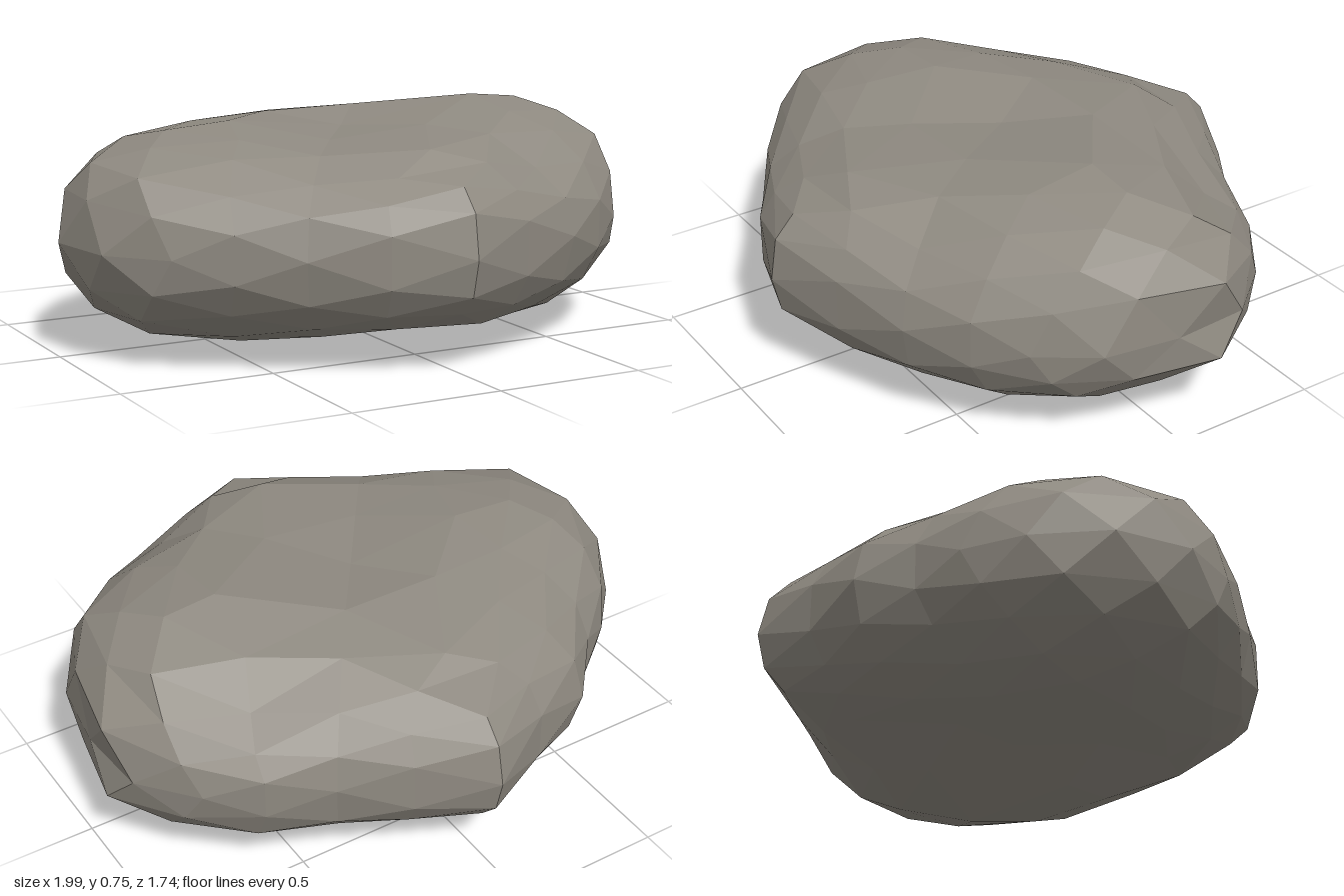
import * as THREE from 'three';

// Plan outline of the boulder as [x, z] corners
const OUTLINE = [
  [-0.94, -0.17], [-0.77, -0.38], [-0.57, -0.53], [-0.47, -0.66], [-0.28, -0.72], [-0.13, -0.82],
  [0, -0.87], [0.2, -0.76], [0.45, -0.62], [0.58, -0.57], [0.83, -0.41], [1.01, -0.15],
  [0.97, 0], [0.92, 0.29], [0.72, 0.51], [0.5, 0.66], [0.25, 0.77], [0.14, 0.84],
  [0, 0.865], [-0.25, 0.78], [-0.45, 0.66], [-0.7, 0.5], [-0.94, 0.31], [-1, 0],
].map(([x, z]) => [Math.atan2(z, x), Math.hypot(x, z)]).sort((p, q) => p[0] - q[0]);

// Close the outline across the seam at half a turn
const first = OUTLINE[0];
const last = OUTLINE[OUTLINE.length - 1];
const RADII = [
  [last[0] - 2 * Math.PI, last[1]], ...OUTLINE, [first[0] + 2 * Math.PI, first[1]],
];

// Height above and depth below the rim, along x
const TOP = [[-1, 0.4], [-0.83, 0.4], [-0.55, 0.365], [-0.3, 0.345], [0, 0.335], [0.25, 0.37], [0.43, 0.385], [0.74, 0.41], [1, 0.47]];
const BASE = [[-1, 0.35], [-0.68, 0.375], [-0.4, 0.36], [-0.15, 0.325], [0, 0.295], [0.13, 0.335], [0.35, 0.365], [0.62, 0.39], [0.8, 0.335], [1, 0.31]];

// Swells and hollows as [x, z, height, width]: the deep ones are chips in the back left and front left edges
const TOP_BUMPS = [
  [-0.05, 0.15, -0.04, 0.25], [-0.25, -0.35, 0.02, 0.25], [0.7, 0.2, 0.015, 0.2],
  [0.68, -0.42, -0.16, 0.19], [0.34, -0.66, -0.1, 0.14], [0.9, -0.2, -0.05, 0.15],
  [0.37, 0.68, -0.1, 0.15], [0.14, 0.82, 0.05, 0.1], [-0.28, 0.65, -0.05, 0.16],
];
const BASE_BUMPS = [[-0.15, 0, -0.025, 0.2]];

// Straight-line lookup in a list of [position, value]
function lookup(list, t) {
  const i = Math.max(1, list.findIndex((p) => p[0] >= t));
  const [a, va] = list[i - 1];
  const [b, vb] = list[i];
  return va + (vb - va) * (t - a) / (b - a);
}

const swell = (bumps, x, z) => bumps.reduce((sum, [bx, bz, h, w]) =>
  sum + h * Math.exp(-((x - bx) ** 2 + (z - bz) ** 2) / (w * w)), 0);

// Smooth, repeatable roughness that breaks up the facets
const rough = (x, y, z, s) =>
  (Math.sin(9.1 * x + 5.3 * z + s) + Math.sin(8.3 * z - 6.7 * y + 2.1 * s) + Math.sin(10.7 * y + 7.9 * x - 4.1 * z + 3.3 * s)) / 3;

function rockGeometry() {
  const geometry = new THREE.IcosahedronGeometry(1, 3);
  const pos = geometry.attributes.position;
  const v = new THREE.Vector3();
  for (let i = 0; i < pos.count; i++) {
    v.fromBufferAttribute(pos, i);
    const angle = Math.atan2(v.z * 0.87, v.x);
    const flat = Math.min(1, Math.hypot(v.x, v.z));
    // Rim is blunt at the ends, bluntest on the left, and sharper at the diagonal corners
    const corner = Math.sin(2 * angle) ** 2;
    let power = 0.72 + 0.16 * corner - 0.2 * Math.max(0, Math.cos(angle + 0.2)) ** 4;
    if (v.y > 0) power -= 0.1 * Math.max(0, Math.sin(angle)) ** 8;
    const edge = Math.abs(v.y);
    const radius = lookup(RADII, angle) * flat ** power * (1 + 0.02 * edge * rough(v.x, v.y, v.z, 1));
    const x = Math.max(-1, Math.min(1, Math.cos(angle) * radius));
    const z = Math.sin(angle) * radius;
    const rise = v.y > 0 ? lookup(TOP, x) + swell(TOP_BUMPS, x, z) : lookup(BASE, x) + swell(BASE_BUMPS, x, z);
    const y = 0.37 + Math.sign(v.y) * rise * edge ** (0.75 + 0.08 * corner)
      + 0.008 * Math.min(1, edge * 3) * rough(v.x, v.y, v.z, 4);
    pos.setXYZ(i, x, y, z);
  }
  // Settle on the ground, centred
  geometry.computeBoundingBox();
  const centre = geometry.boundingBox.getCenter(new THREE.Vector3());
  geometry.translate(-centre.x, -geometry.boundingBox.min.y, -centre.z);
  geometry.computeVertexNormals();
  return geometry;
}

export function createModel() {
  const stone = new THREE.MeshStandardMaterial({ color: 0x8f8a81, flatShading: true });
  stone.name = 'grey stone';
  const rock = new THREE.Mesh(rockGeometry(), stone);
  rock.name = 'boulder';
  const group = new THREE.Group();
  group.name = 'rock';
  group.add(rock);
  return group;
}
